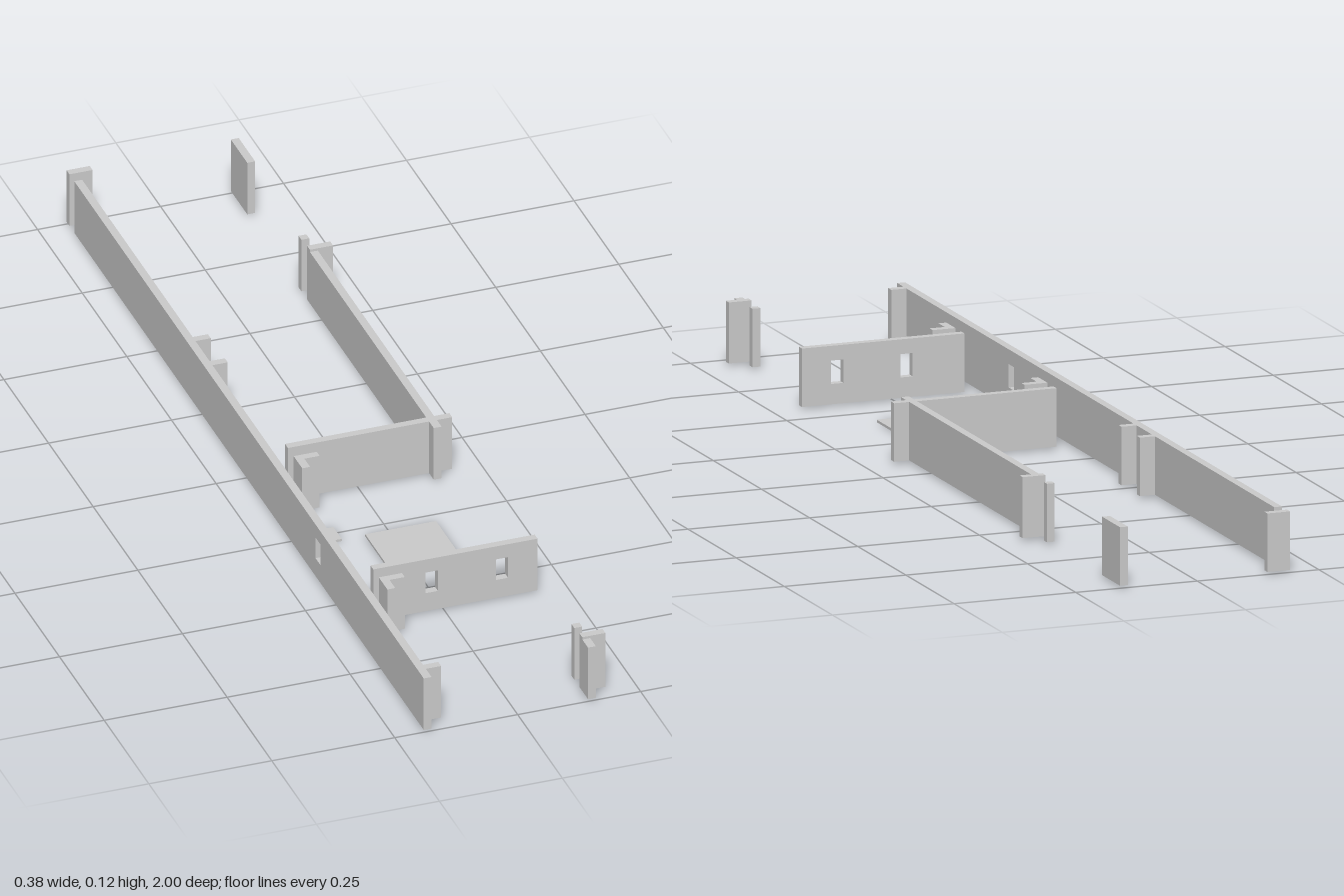
import * as THREE from 'three';

const BASE = 0.005, TOP = 0.12, TALL = 0.125, T = 0.016;
const material = new THREE.MeshStandardMaterial({ color: 0xcccccc, flatShading: true });

export function createModel() {
  const group = new THREE.Group();

  const add = (name, geometry) => {
    const mesh = new THREE.Mesh(geometry, material);
    mesh.name = name;
    group.add(mesh);
    return mesh;
  };

  // Axis-aligned block given by its plan limits
  const block = (name, x0, x1, z0, z1, y1 = TOP, y0 = BASE) =>
    add(name, new THREE.BoxGeometry(x1 - x0, y1 - y0, z1 - z0))
      .position.set((x0 + x1) / 2, (y0 + y1) / 2, (z0 + z1) / 2);

  // Upright panel from a to b, pierced by windows, extruded by T
  const panel = (name, a, b, windows) => {
    const rect = (Type, u0, u1, v0, v1) => new Type([[u0, v0], [u1, v0], [u1, v1], [u0, v1]]
      .map(([u, v]) => new THREE.Vector2(u, v)));
    const shape = rect(THREE.Shape, a, b, BASE, TOP);
    windows.forEach(([u0, u1]) => shape.holes.push(rect(THREE.Path, u0, u1, 0.045, 0.091)));
    return add(name, new THREE.ExtrudeGeometry(shape, { depth: T, bevelEnabled: false }));
  };

  // Long side wall with one window; shape runs along -z after turning
  const longWall = panel('longWall', -1, 0.957, [[-0.421, -0.394]]);
  longWall.rotation.y = Math.PI / 2;
  longWall.position.x = -0.191;

  // Fins and end stubs along the long wall
  for (const z of [-0.338, -0.243, 0.952]) block('longWallFin', -0.175, -0.144, z, z + T);
  block('rearStub', -0.191, -0.144, -1, -1 + T);

  // Short side wall, rear panel and loose door posts
  block('shortWall', 0.143, 0.159, -0.573, 0.136);
  block('rearPanel', 0.143, 0.159, -1, -0.908);
  for (const z of [-0.621, 0.907]) block('doorPost', 0.143, 0.159, z, z + T);
  block('frontCornerLeg', 0.143, 0.159, 0.952, 1);

  // Taller returns at the outer corners
  for (const z of [-0.573, 0.952]) block('cornerReturn', 0.143, 0.19, z, z + T, TALL);

  // Cross walls
  block('rearCrossWall', -0.144, 0.19, 0.094, 0.094 + T);
  panel('frontCrossWall', -0.144, 0.19, [[-0.0375, -0.0125], [0.105, 0.13]]).position.z = 0.572;

  // L-shaped inner corners
  for (const z of [0.142, 0.619]) {
    block('innerCornerBar', -0.144, -0.097, z, z + T);
    block('innerCornerLeg', -0.144, -0.128, z + T, z + 0.048);
  }

  // Floor plates
  block('largeFloorPlate', -0.049, 0.095, 0.281, 0.424, BASE, 0);
  for (const z of [0.235, 0.475]) block('smallFloorPlate', -0.144, -0.097, z, z + 0.047, BASE, 0);

  return group;
}
